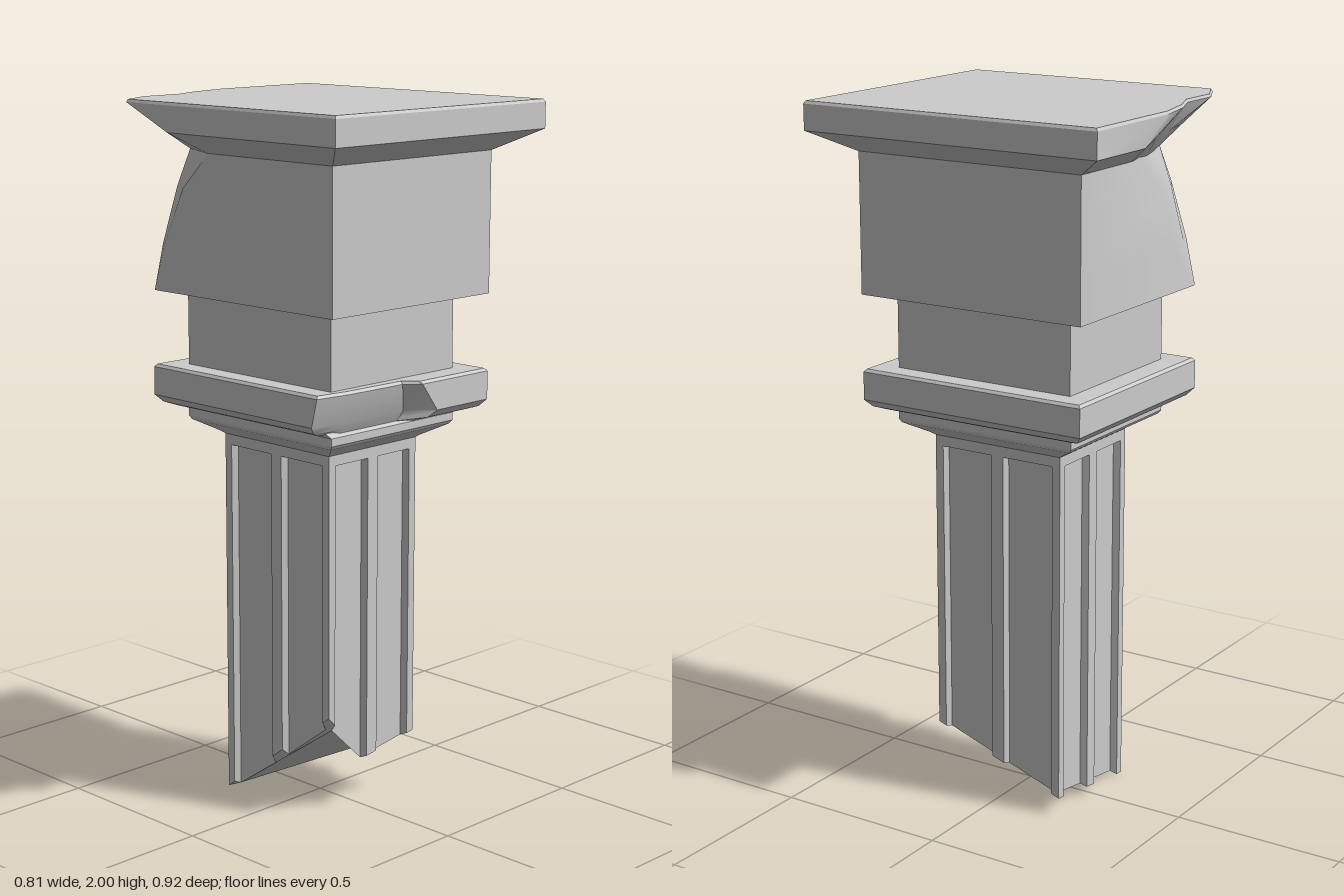
import * as THREE from 'three';
import { toCreasedNormals } from 'three/addons/utils/BufferGeometryUtils.js';

const material = new THREE.MeshStandardMaterial({ color: 0xcccccc });

// Skin a stack of rings (bottom to top, each counter-clockwise from above) and cap both ends
function loft(name, rings) {
  const n = rings[0].length;
  const index = [];
  for (let r = 0; r < rings.length - 1; r++) {
    for (let j = 0; j < n; j++) {
      const a = r * n + j, b = r * n + (j + 1) % n;
      index.push(a, b, b + n, a, b + n, a + n);
    }
  }
  const cap = (r, up) => {
    const flat = rings[r].map(([x, , z]) => new THREE.Vector2(x, -z));
    for (const [a, b, c] of THREE.ShapeUtils.triangulateShape(flat, [])) {
      const ccw = THREE.ShapeUtils.area([flat[a], flat[b], flat[c]]) > 0;
      const t = ccw === up ? [a, b, c] : [a, c, b];
      index.push(...t.map((k) => k + r * n));
    }
  };
  cap(0, false);
  cap(rings.length - 1, true);
  const geometry = new THREE.BufferGeometry();
  geometry.setAttribute('position', new THREE.Float32BufferAttribute(rings.flat(2), 3));
  geometry.setIndex(index);
  const mesh = new THREE.Mesh(toCreasedNormals(geometry, 0.45), material);
  mesh.name = name;
  return mesh;
}

// Plain rectangular ring
const rect = (y, hx, hz) => [[-hx, y, hz], [hx, y, hz], [hx, y, -hz], [-hx, y, -hz]];

// Rectangular ring whose back corner (-x, -z) is replaced by broken points [x, z]
const backChip = (y, hx, hz, chip) => [...rect(y, hx, hz).slice(0, 3), ...chip.map(([x, z]) => [x, y, z])];

// Rectangular ring whose front corner (-x, +z) is replaced by broken points [x, z]
const frontChip = (y, hx, hz, chip) => [...chip.map(([x, z]) => [x, y, z]), ...rect(y, hx, hz).slice(1)];

// Height of the broken underside of the shaft: two slanting planes
const breakHeight = (x, z) => Math.max(
  0.165 + 0.15 * x + 0.34 * (z - 0.205),
  0.16 - 1.07 * (x + 0.03) + 0.756 * (z - 0.205));

// Shaft outline with two sunken panels on each side
function shaftOutline(hx, hz, depth) {
  const points = [];
  const side = (half, place) => {
    const edge = half - 0.025;
    points.push(place(-half, 0));
    for (const [from, to] of [[-edge, -0.02], [0.02, edge]]) {
      points.push(place(from, 0), place(from + 0.006, depth), place(to - 0.006, depth), place(to, 0));
    }
  };
  side(hx, (s, d) => [s, hz - d]);
  side(hz, (s, d) => [hx - d, -s]);
  side(hx, (s, d) => [-s, -hz + d]);
  side(hz, (s, d) => [-hx + d, s]);
  return points;
}

export function createModel() {
  const group = new THREE.Group();
  group.name = 'brokenColumn';

  // Top plate with flared underside and a broken back corner
  const rim = [[0.05, -0.455], [-0.08, -0.425], [-0.175, -0.385], [-0.305, -0.385], [-0.405, -0.335]];
  group.add(loft('topPlate', [
    backChip(1.862, 0.308, 0.353, [[0.06, -0.353], [-0.05, -0.335], [-0.13, -0.31], [-0.24, -0.265], [-0.308, -0.12]]),
    backChip(1.92, 0.405, 0.458, [[0.17, -0.458], [0.02, -0.4], [-0.13, -0.355], [-0.28, -0.315], [-0.405, -0.17]]),
    backChip(1.992, 0.405, 0.458, rim),
    backChip(2, 0.4, 0.453, rim.map(([x, z]) => [x * 0.99, z * 0.99])),
  ]));

  // Main block, its back corner sheared away towards the top
  group.add(loft('capitalBlock', [
    backChip(1.468, 0.307, 0.352, [[-0.285, -0.352], [-0.298, -0.35], [-0.304, -0.347], [-0.307, -0.335]]),
    backChip(1.6, 0.307, 0.352, [[-0.18, -0.352], [-0.245, -0.342], [-0.29, -0.325], [-0.307, -0.3]]),
    backChip(1.76, 0.307, 0.352, [[-0.11, -0.352], [-0.2, -0.325], [-0.27, -0.285], [-0.307, -0.22]]),
    backChip(1.868, 0.307, 0.352, [[0.02, -0.352], [-0.12, -0.31], [-0.24, -0.26], [-0.307, -0.11]]),
  ]));

  // Recessed neck
  group.add(loft('neck', [rect(1.24, 0.24, 0.28), rect(1.48, 0.24, 0.28)]));

  // Collar with a chipped front edge
  group.add(loft('collar', [
    frontChip(1.14, 0.265, 0.305, [[-0.265, 0.255], [-0.2, 0.275], [0.02, 0.275], [0.06, 0.305]]),
    frontChip(1.15, 0.29, 0.335, [[-0.29, 0.265], [-0.2, 0.28], [0.025, 0.28], [0.08, 0.335]]),
    frontChip(1.17, 0.307, 0.352, [[-0.307, 0.275], [-0.2, 0.29], [0.03, 0.29], [0.1, 0.352]]),
    frontChip(1.25, 0.307, 0.352, [[-0.307, 0.295], [-0.2, 0.31], [0, 0.315], [0.04, 0.352]]),
    frontChip(1.258, 0.3, 0.345, [[-0.3, 0.29], [-0.2, 0.303], [0, 0.308], [0.035, 0.345]]),
  ]));

  // Stepped moulding under the collar, ending in the shaft's solid top
  group.add(loft('lowerMoulding', [
    rect(1.03, 0.172, 0.206), rect(1.06, 0.172, 0.206), rect(1.068, 0.182, 0.218),
    rect(1.1, 0.235, 0.276), rect(1.11, 0.24, 0.283), rect(1.132, 0.24, 0.283),
    rect(1.145, 0.25, 0.27),
  ]));

  // Panelled shaft, broken off at a slant
  const outline = shaftOutline(0.172, 0.206, 0.02);
  group.add(loft('shaft', [
    outline.map(([x, z]) => [x, breakHeight(x, z), z]),
    outline.map(([x, z]) => [x, 1.03, z]),
  ]));

  return group;
}
